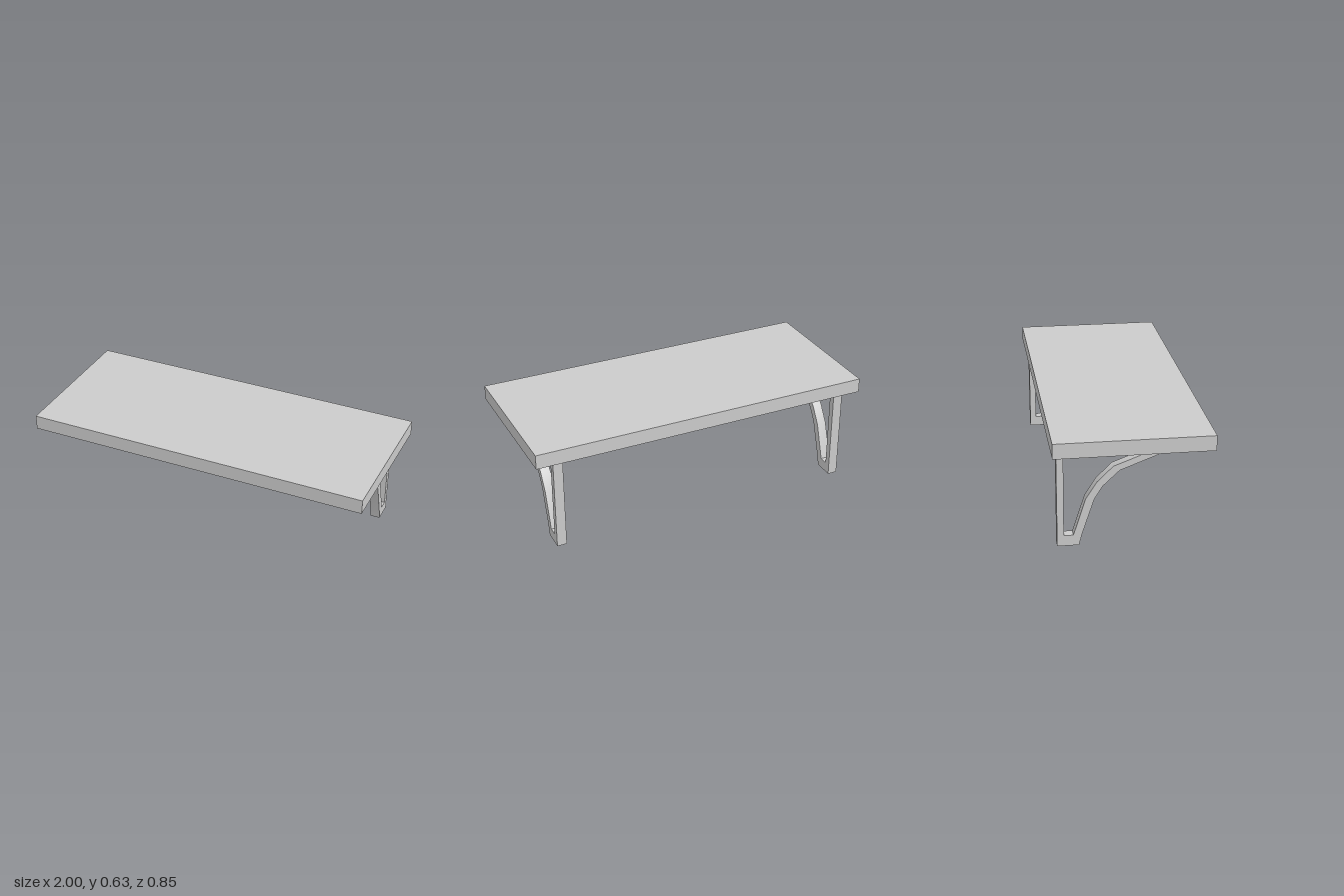
import * as THREE from 'three';
import { toCreasedNormals } from 'three/addons/utils/BufferGeometryUtils.js';

const material = new THREE.MeshStandardMaterial({ color: 0xcccccc });
const toPoints = (pairs) => pairs.map(([z, y]) => new THREE.Vector2(z, y));

const BOARD_BOTTOM = 0.543;
const BOARD_TOP = 0.627;
const BRACKET_WIDTH = 0.056;

// Bracket side profile as (z, y): wall post, top rail and curved brace around an opening
function bracketGeometry() {
  const profile = new THREE.Shape(toPoints([
    [-0.4, BOARD_BOTTOM], [-0.4, 0], [-0.283, 0], [-0.268, 0.06], [-0.2, 0.265],
    [-0.155, 0.336], [-0.066, 0.42], [0.17, 0.51], [0.17, BOARD_BOTTOM],
  ]));
  profile.holes.push(new THREE.Path(toPoints([
    [0.072, 0.51], [-0.1, 0.445], [-0.186, 0.361], [-0.247, 0.265],
    [-0.313, 0.06], [-0.364, 0.06], [-0.362, 0.51],
  ])));
  const extruded = new THREE.ExtrudeGeometry(profile, { depth: BRACKET_WIDTH, bevelEnabled: false });
  extruded.translate(0, 0, -BRACKET_WIDTH / 2).rotateY(-Math.PI / 2);
  // Smooth along the brace, sharp at the corners
  return toCreasedNormals(extruded, Math.PI / 6);
}

export function createModel() {
  const group = new THREE.Group();
  group.name = 'wallShelf';

  // Shelf board
  const thickness = BOARD_TOP - BOARD_BOTTOM;
  const board = new THREE.Mesh(new THREE.BoxGeometry(2, thickness, 0.854), material);
  board.name = 'shelfBoard';
  board.position.y = BOARD_BOTTOM + thickness / 2;
  group.add(board);

  // Brackets under both ends
  const geometry = bracketGeometry();
  for (const [name, x] of [['leftBracket', 0.869], ['rightBracket', -0.876]]) {
    const bracket = new THREE.Mesh(geometry, material);
    bracket.name = name;
    bracket.position.x = x;
    group.add(bracket);
  }
  return group;
}
